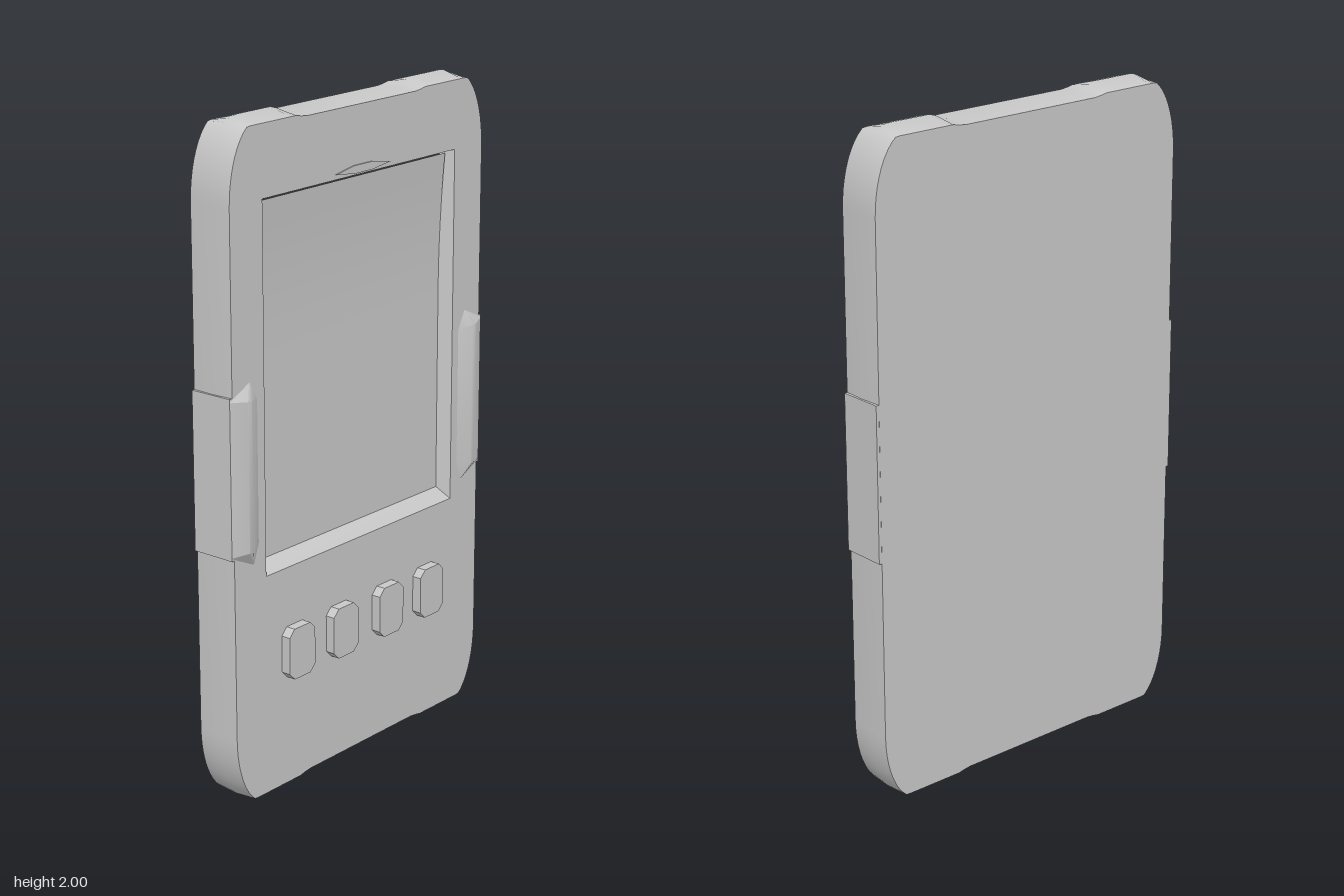
import * as THREE from 'three';
import { toCreasedNormals } from 'three/addons/utils/BufferGeometryUtils.js';
import { ConvexGeometry } from 'three/addons/geometries/ConvexGeometry.js';

const FRONT = 0.055, BACK = -0.085, MID = -0.015;

// Skin between closed rings of [x, y], each at its own z
function loft(rings, zs) {
  const n = rings[0].length, pos = [], idx = [];
  rings.forEach((ring, r) => ring.forEach(([x, y]) => pos.push(x, y, zs[r])));
  for (let r = 0; r < rings.length - 1; r++) {
    for (let i = 0; i < n; i++) {
      const j = (i + 1) % n;
      const a = r * n + i, b = r * n + j, c = a + n, d = b + n;
      idx.push(a, b, d, a, d, c);
    }
  }
  const g = new THREE.BufferGeometry();
  g.setAttribute('position', new THREE.Float32BufferAttribute(pos, 3));
  g.setIndex(idx);
  return toCreasedNormals(g, 0.8);
}

// Case outline, counter-clockwise, with raised corner pads top and bottom
function outline() {
  const quarter = [];
  for (let i = 0; i <= 12; i++) {
    const t = (i / 12) * Math.PI / 2;
    quarter.push([0.44 + 0.12 * Math.cos(t), 1.77 + 0.23 * Math.sin(t)]);
  }
  quarter.push([0.31, 2], [0.285, 1.993], [0.265, 1.98], [0.24, 1.977]);
  const flipX = ([x, y]) => [-x, y], flipY = ([x, y]) => [x, 2 - y];
  const top = [...quarter, ...quarter.map(flipX).reverse()];
  return [...top, ...top.map(flipY).reverse()];
}

const rect = (x, y0, y1) => [[-x, y0], [x, y0], [x, y1], [-x, y1]];
const toVectors = (pts) => pts.map(([x, y]) => new THREE.Vector2(x, y));

export function createModel() {
  const model = new THREE.Group();
  model.name = 'handheldDevice';
  const grey = new THREE.MeshStandardMaterial({ color: 0xc8c8c8 });
  grey.name = 'light grey plastic';
  const add = (geometry, name, parent = model) => {
    const mesh = new THREE.Mesh(geometry, grey);
    mesh.name = name;
    parent.add(mesh);
    return mesh;
  };

  // Case rim, swelling to a ridge halfway through its thickness
  const full = outline();
  const inner = full.map(([x, y]) => {
    const dy = y - 1;
    return [x * 0.994, 1 + Math.sign(dy) * Math.min(Math.abs(dy) * 0.996, 0.98)];
  });
  add(loft([inner, full, inner], [BACK, MID, FRONT]), 'caseRim');

  // Flat back
  const back = new THREE.ShapeGeometry(new THREE.Shape(toVectors(inner)));
  back.rotateY(Math.PI);
  back.translate(0, 0, BACK);
  add(back, 'backPanel');

  // Front face with the screen opening
  const opening = rect(0.425, 0.69, 1.775);
  const face = new THREE.Shape(toVectors(inner));
  face.holes.push(new THREE.Path(toVectors(opening).reverse()));
  const faceGeometry = new THREE.ShapeGeometry(face);
  faceGeometry.translate(0, 0, FRONT);
  add(faceGeometry, 'frontPanel');

  // Sloped walls of the screen recess
  const floorZ = 0.015;
  add(loft([opening, rect(0.405, 0.725, 1.765)], [FRONT, floorZ]), 'screenWalls');

  // Screen, curving slightly forward towards its top
  const screen = new THREE.PlaneGeometry(0.81, 1.04, 1, 16);
  screen.translate(0, 1.245, floorZ);
  const p = screen.attributes.position;
  for (let i = 0; i < p.count; i++) {
    const t = Math.max(0, (p.getY(i) - 1.35) / 0.415);
    p.setZ(i, floorZ + 0.02 * t * t);
  }
  screen.computeVertexNormals();
  add(screen, 'screen');

  // Small earpiece above the screen
  const ear = new THREE.Shape(toVectors([
    [-0.12, 1.79], [-0.04, 1.78], [0.04, 1.78], [0.12, 1.79], [0.04, 1.803], [-0.04, 1.803],
  ]));
  const earGeometry = new THREE.ExtrudeGeometry(ear, { depth: 0.006, bevelEnabled: false });
  earGeometry.translate(0, 0, FRONT - 0.002);
  add(earGeometry, 'earpiece');

  // Side grips: a plate around the edge and a tapered ridge on the face
  for (const s of [-1, 1]) {
    const grip = new THREE.Group();
    grip.name = s > 0 ? 'leftGrip' : 'rightGrip';
    const plate = new THREE.BoxGeometry(0.04, 0.47, FRONT - BACK - 0.001);
    plate.translate(s * 0.546, 1.01, MID);
    add(plate, 'gripPlate', grip);
    const ridge = [
      [0.555, 0.77, 0.05], [0.47, 0.73, 0.05], [0.455, 0.8, 0.055],
      [0.555, 1.25, 0.05], [0.48, 1.285, 0.05], [0.455, 1.22, 0.055],
      [0.5, 0.79, 0.076], [0.515, 0.79, 0.076], [0.5, 1.23, 0.076], [0.515, 1.23, 0.076],
      [0.566, 0.785, 0.055], [0.566, 1.235, 0.055],
    ].map(([x, y, z]) => new THREE.Vector3(s * x, y, z));
    add(toCreasedNormals(new ConvexGeometry(ridge), 0.5), 'gripRidge', grip);
    model.add(grip);
  }

  // Four keys with clipped corners
  const w = 0.056, h = 0.078, c = 0.022;
  const key = new THREE.Shape(toVectors([
    [-w + c, -h], [w - c, -h], [w, -h + c], [w, h - c],
    [w - c, h], [-w + c, h], [-w, h - c], [-w, -h + c],
  ]));
  const keyGeometry = new THREE.ExtrudeGeometry(key, { depth: 0.034, bevelEnabled: false });
  [-0.305, -0.108, 0.104, 0.3].forEach((x, i) => {
    add(keyGeometry, `key${i + 1}`).position.set(x, 0.432, FRONT - 0.004);
  });

  // Centre the thickness
  model.children.forEach((part) => { part.position.z += 0; });
  return model;
}
